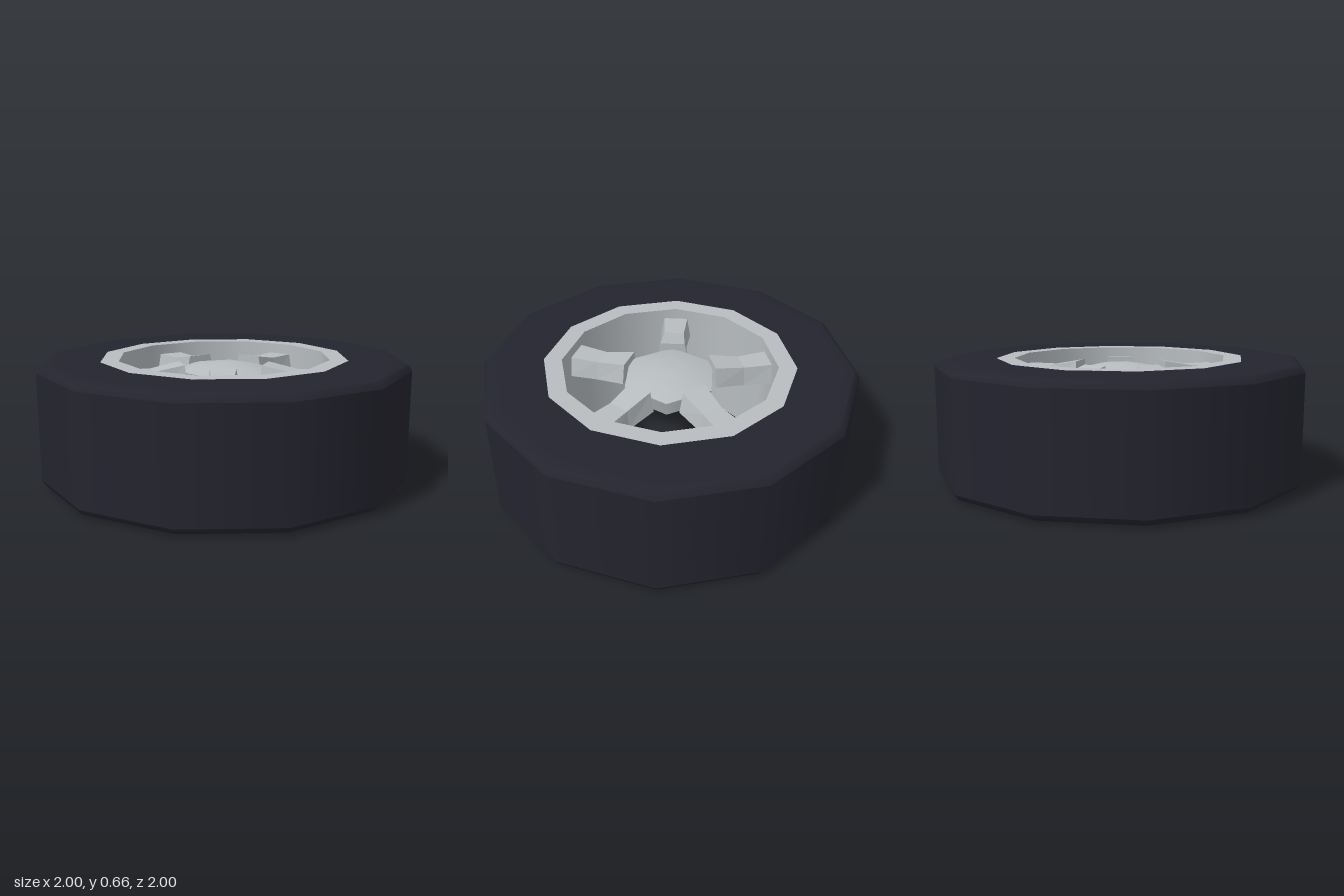
import * as THREE from 'three';

const rubber = new THREE.MeshStandardMaterial({ color: 0x24242f });
rubber.name = 'dark rubber';
const metal = new THREE.MeshStandardMaterial({ color: 0xb8bdc0 });
metal.name = 'light metal';

// Each profile is a smooth band; separate bands meet in a sharp edge.
function turned(name, bands, sides, material, start = 0) {
  const group = new THREE.Group();
  group.name = name;
  for (const [bandName, points] of Object.entries(bands)) {
    const profile = points.map(([r, y]) => new THREE.Vector2(r, y));
    const mesh = new THREE.Mesh(new THREE.LatheGeometry(profile, sides, start), material);
    mesh.name = bandName;
    group.add(mesh);
  }
  return group;
}

// Waisted, bevelled bar reaching from the hub to the rim along -x.
function spokeGeometry() {
  const stations = [
    { r: 0.56, top: 0.6, bottom: 0.49, topHalf: 0.068, bottomHalf: 0.088 },
    { r: 0.4, top: 0.6, bottom: 0.495, topHalf: 0.056, bottomHalf: 0.07 },
    { r: 0.235, top: 0.63, bottom: 0.52, topHalf: 0.068, bottomHalf: 0.09 },
  ];
  const box = new THREE.BoxGeometry(2, 2, 2, 2, 1, 1);
  const p = box.attributes.position;
  for (let i = 0; i < p.count; i++) {
    const s = stations[Math.round(p.getX(i)) + 1];
    const up = p.getY(i) > 0;
    p.setXYZ(i, -s.r, up ? s.top : s.bottom, p.getZ(i) * (up ? s.topHalf : s.bottomHalf));
  }
  const flat = box.toNonIndexed();
  flat.computeVertexNormals();
  return flat;
}

export function createModel() {
  const wheel = new THREE.Group();
  wheel.name = 'wheel';

  // Tyre: tread, rounded shoulders and flat walls
  wheel.add(turned('tyre', {
    lowerWall: [[0.67, 0.005], [0.9, 0], [0.97, 0.012]],
    lowerShoulder: [[0.97, 0.012], [0.985, 0.02], [1, 0.045]],
    tread: [[1, 0.045], [1, 0.615]],
    upperShoulder: [[1, 0.615], [0.985, 0.64], [0.97, 0.648]],
    upperWall: [[0.97, 0.648], [0.9, 0.66], [0.67, 0.655]],
  }, 12, rubber));

  // Rim: flat lips joined by a straight barrel
  wheel.add(turned('rim', {
    upperLip: [[0.672, 0.656], [0.575, 0.656]],
    barrel: [[0.575, 0.656], [0.575, 0.004]],
    lowerLip: [[0.575, 0.004], [0.672, 0.004]],
  }, 12, metal));

  // Six-sided hub with a shallow domed cap
  wheel.add(turned('hub', {
    hubBase: [[0, 0.5], [0.24, 0.5]],
    hubSide: [[0.24, 0.5], [0.262, 0.585]],
    hubCap: [[0.262, 0.585], [0.18, 0.608], [0.09, 0.622], [0, 0.627]],
  }, 6, metal, Math.PI / 2));

  // Five spokes
  const geometry = spokeGeometry();
  for (let i = 0; i < 5; i++) {
    const spoke = new THREE.Mesh(geometry, metal);
    spoke.name = `spoke${i + 1}`;
    spoke.rotation.y = (i * Math.PI * 2) / 5;
    wheel.add(spoke);
  }
  return wheel;
}
